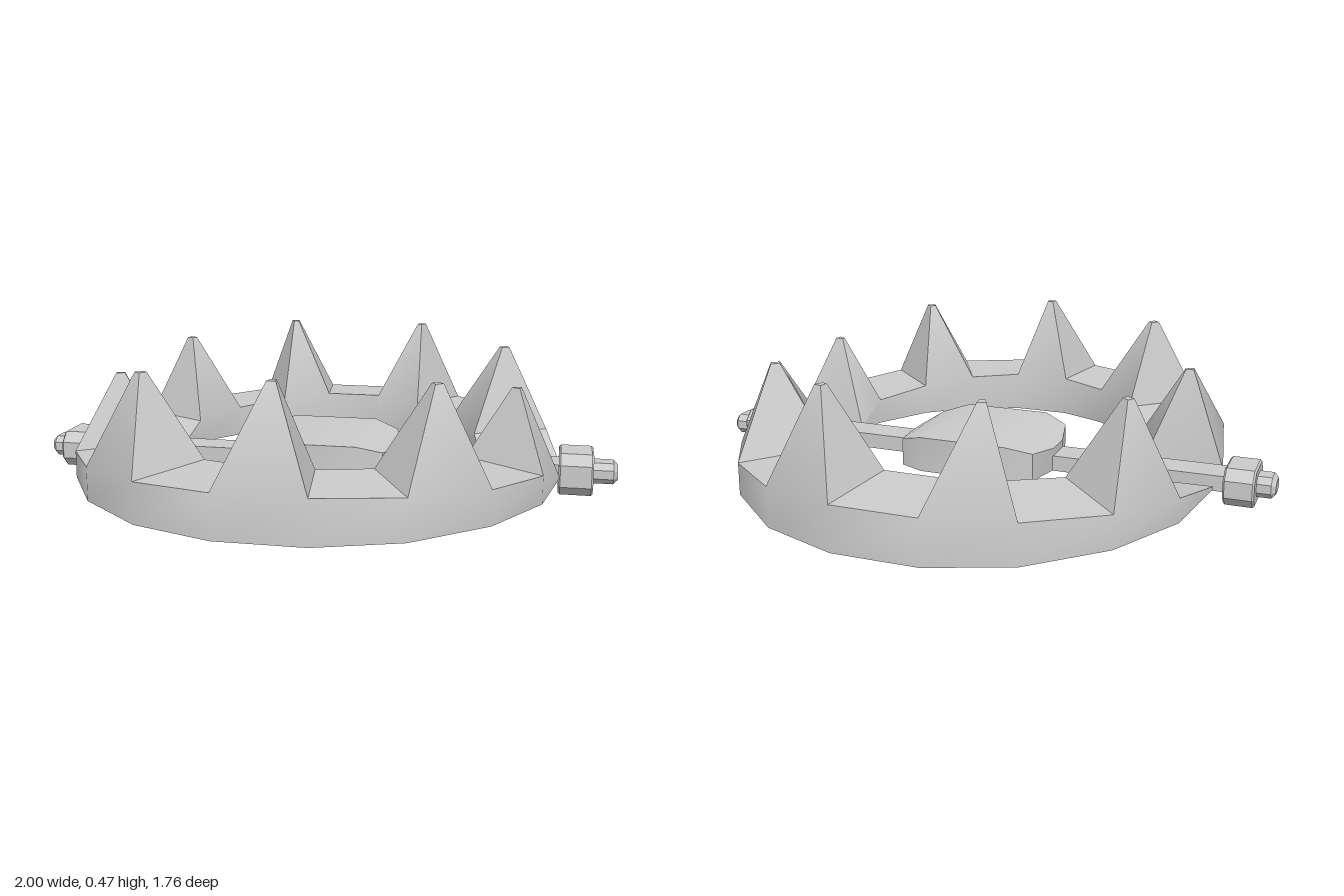
import * as THREE from 'three';
import { toCreasedNormals } from 'three/addons/utils/BufferGeometryUtils.js';

const material = new THREE.MeshStandardMaterial({ color: 0xcccccc });

// Collects quads (corners counter-clockwise from outside) into one geometry
function quadBuilder(flip = false) {
  const pos = [];
  return {
    quad(...c) {
      if (flip) c.reverse();
      for (const k of [0, 1, 2, 0, 2, 3]) pos.push(...c[k]);
    },
    build(crease) {
      const g = new THREE.BufferGeometry();
      g.setAttribute('position', new THREE.Float32BufferAttribute(pos, 3));
      g.computeVertexNormals();
      return toCreasedNormals(g, crease);
    },
  };
}

function addMesh(parent, name, geometry) {
  const mesh = new THREE.Mesh(geometry, material);
  mesh.name = name;
  parent.add(mesh);
  return mesh;
}

// Half of each jaw's plan outline, from the hinge to the middle: [x, z]
const OUTER = [[0.81, 0.09], [0.76, 0.37], [0.62, 0.605], [0.4, 0.79], [0.14, 0.88]];
const INNER = [[0.54, 0.095], [0.51, 0.195], [0.41, 0.39], [0.265, 0.525], [0.1, 0.6]];

// A half-ring jaw; teeth is a map of segment -> [x, y, z] tip
function jawGeometry(side, slope, thickness, teeth) {
  const b = quadBuilder(side < 0);
  const stations = [];
  for (let i = 0; i < 10; i++) {
    const k = Math.min(i, 9 - i);
    const sx = i < 5 ? -1 : 1;
    const point = ([x, z], h) => [sx * x, 0.061 - slope * (z - 0.09) + h, side * z];
    stations.push({
      ob: point(OUTER[k], 0), ot: point(OUTER[k], thickness[k]),
      ib: point(INNER[k], 0), it: point(INNER[k], thickness[k]),
    });
  }
  for (let i = 0; i < 9; i++) {
    const p = stations[i], q = stations[i + 1];
    b.quad(p.ob, q.ob, q.ot, p.ot);
    b.quad(q.ib, p.ib, p.it, q.it);
    b.quad(p.ib, q.ib, q.ob, p.ob);
    const base = [p.ot, q.ot, q.it, p.it];
    const tip = teeth[i];
    if (!tip) {
      b.quad(...base);
      continue;
    }
    // Pyramid tooth with a tiny flat point
    const cx = base.reduce((s, v) => s + v[0], 0) / 4;
    const cz = base.reduce((s, v) => s + v[2], 0) / 4;
    const top = base.map((v) => [tip[0] + (v[0] - cx) * 0.1, tip[1], tip[2] + (v[2] - cz) * 0.1]);
    for (let k = 0; k < 4; k++) b.quad(base[k], base[(k + 1) % 4], top[(k + 1) % 4], top[k]);
    b.quad(...top);
  }
  const s = stations[0], e = stations[9];
  b.quad(s.ib, s.ob, s.ot, s.it);
  b.quad(e.ob, e.ib, e.it, e.ot);
  return b.build(0.6);
}

// Pressure plate: rectangular sections along x, [x, half depth, top height]
function plateGeometry() {
  const b = quadBuilder();
  const rows = [[-0.265, 0.05, 0.125], [-0.235, 0.18, 0.14], [-0.15, 0.22, 0.165],
    [0.15, 0.22, 0.165], [0.235, 0.18, 0.14], [0.265, 0.05, 0.125]];
  const section = ([x, d, y]) => [[x, 0.047, d], [x, y, d], [x, y, -d], [x, 0.047, -d]];
  const sections = rows.map(section);
  for (let i = 0; i < 5; i++) {
    const p = sections[i], q = sections[i + 1];
    for (let k = 0; k < 4; k++) {
      const n = (k + 1) % 4;
      b.quad(p[k], q[k], q[n], p[n]);
    }
  }
  const [a, z] = [sections[0], sections[5]];
  b.quad(...a);
  b.quad(...[...z].reverse());
  return b.build(0.5);
}

// Chamfered rectangle extruded along x
function chamferedBlock(length, halfDepth, halfHeight, cut, bevel) {
  const d = halfDepth - bevel, h = halfHeight - bevel;
  const shape = new THREE.Shape([
    [d, -h + cut], [d, h - cut], [d - cut, h], [-d + cut, h],
    [-d, h - cut], [-d, -h + cut], [-d + cut, -h], [d - cut, -h],
  ].map(([x, y]) => new THREE.Vector2(x, y)));
  return new THREE.ExtrudeGeometry(shape, {
    depth: length - 2 * bevel, bevelEnabled: bevel > 0,
    bevelThickness: bevel, bevelSize: bevel, bevelSegments: 1,
  }).translate(0, 0, bevel).rotateY(Math.PI / 2);
}

export function createModel() {
  const model = new THREE.Group();
  model.name = 'jawTrap';

  // Jaws: five teeth at the front, four at the back
  addMesh(model, 'frontJaw', jawGeometry(1, 0.02, [0.01, 0.09, 0.11, 0.13, 0.14], {
    0: [-0.665, 0.38, 0.185], 2: [-0.45, 0.455, 0.555], 4: [0, 0.475, 0.71],
    6: [0.45, 0.455, 0.555], 8: [0.665, 0.38, 0.185],
  }));
  addMesh(model, 'backJaw', jawGeometry(-1, 0.063, [0.01, 0.08, 0.108, 0.132, 0.148], {
    1: [-0.597, 0.42, -0.39], 3: [-0.255, 0.455, -0.69],
    5: [0.255, 0.455, -0.69], 7: [0.597, 0.42, -0.39],
  }));

  // Base bar and pressure plate
  addMesh(model, 'baseBar', new THREE.BoxGeometry(1.74, 0.052, 0.115)).position.set(0, 0.073, -0.007);
  addMesh(model, 'pressurePlate', plateGeometry()).position.z = -0.01;

  // Hinge nuts and bolt ends at both sides of the bar
  for (const side of [1, -1]) {
    const hinge = new THREE.Group();
    hinge.name = side > 0 ? 'leftHinge' : 'rightHinge';
    const nutStart = side > 0 ? 0.807 : 0.84;
    const nutEnd = side > 0 ? 0.92 : 0.94;
    const nut = addMesh(hinge, 'hingeNut',
      chamferedBlock(nutEnd - nutStart, 0.097, side > 0 ? 0.07 : 0.062, 0.03, 0.006));
    nut.position.x = nutStart;
    const bolt = addMesh(hinge, 'boltEnd', chamferedBlock(1.02 - nutEnd, 0.05, 0.035, 0.012, 0.014));
    bolt.position.x = nutEnd - 0.02;
    hinge.position.set(0, 0.07, -0.007);
    hinge.rotation.y = side > 0 ? 0 : Math.PI;
    model.add(hinge);
  }
  return model;
}
